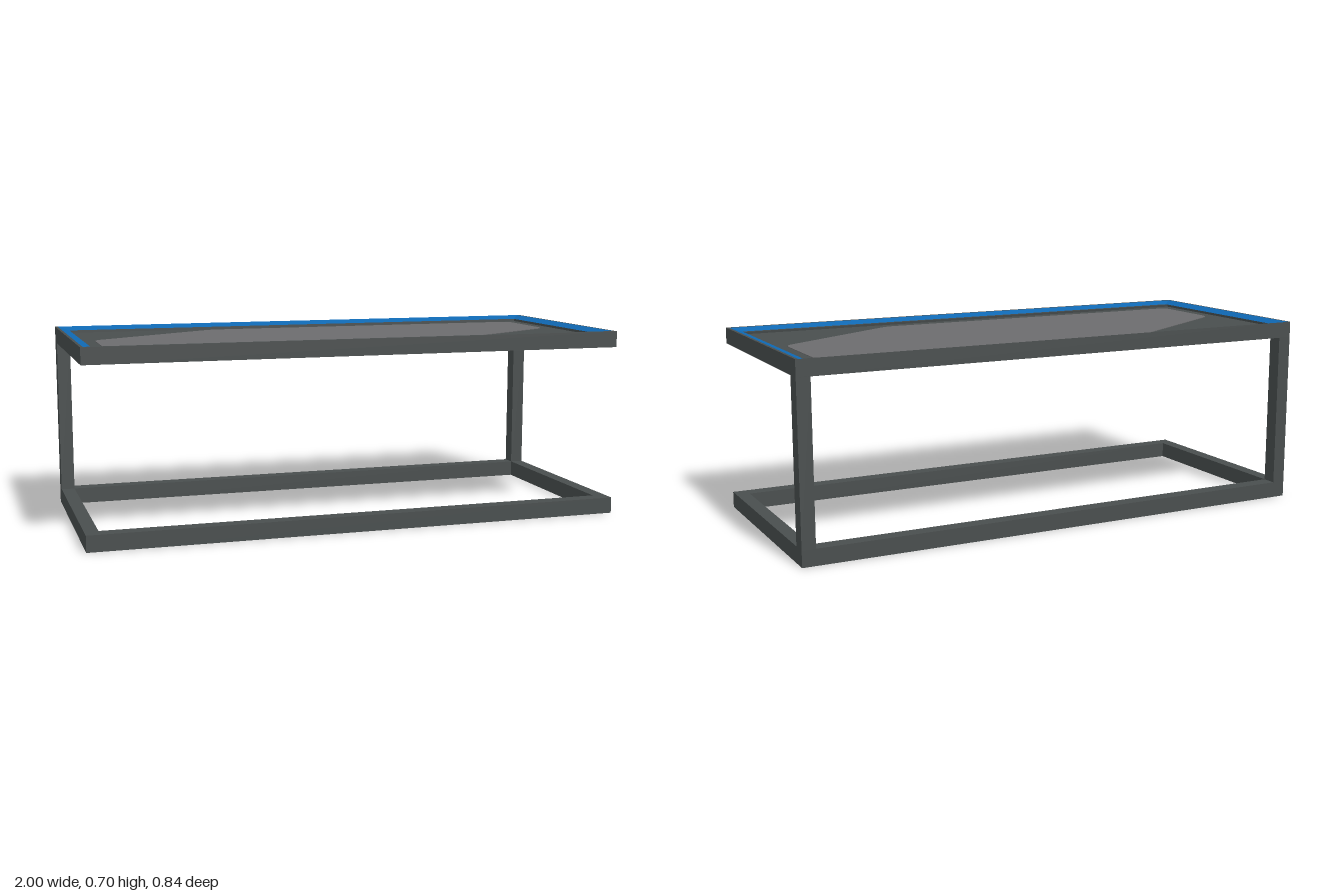
import * as THREE from 'three';

const frameMat = new THREE.MeshStandardMaterial({ color: 0x494e4e });
frameMat.name = 'dark grey metal';
const blueMat = new THREE.MeshStandardMaterial({ color: 0x0f68b3 });
blueMat.name = 'blue trim';
const inlayMat = new THREE.MeshStandardMaterial({ color: 0x6c6c6e });
inlayMat.name = 'mid grey inlay';

// Skin successive rectangular loops: [half width, back z, front z, y]
function rectLoft(loops) {
  const pos = [];
  const corners = ([w, b, f, y]) => [[-w, y, f], [w, y, f], [w, y, b], [-w, y, b]];
  for (let k = 0; k < loops.length - 1; k++) {
    const lo = corners(loops[k]), hi = corners(loops[k + 1]);
    for (let i = 0; i < 4; i++) {
      const j = (i + 1) % 4;
      pos.push(...lo[i], ...lo[j], ...hi[j], ...lo[i], ...hi[j], ...hi[i]);
    }
  }
  const g = new THREE.BufferGeometry();
  g.setAttribute('position', new THREE.Float32BufferAttribute(pos, 3));
  g.computeVertexNormals();
  return g;
}

// Polygon with every corner rounded off
function roundedPolygon(points, r) {
  const pts = points.map(([x, y]) => new THREE.Vector2(x, y));
  const shape = new THREE.Shape();
  pts.forEach((p, i) => {
    const toward = (q) => p.clone().add(q.clone().sub(p).setLength(r));
    const a = toward(pts[(i + pts.length - 1) % pts.length]);
    const b = toward(pts[(i + 1) % pts.length]);
    if (i === 0) shape.moveTo(a.x, a.y); else shape.lineTo(a.x, a.y);
    shape.quadraticCurveTo(p.x, p.y, b.x, b.y);
  });
  shape.closePath();
  return shape;
}

export function createModel() {
  const model = new THREE.Group();
  model.name = 'cantilever table';
  const add = (name, geometry, material, x = 0, y = 0, z = 0) => {
    const mesh = new THREE.Mesh(geometry, material);
    mesh.name = name;
    mesh.position.set(x, y, z);
    model.add(mesh);
  };

  // Base frame: a closed rectangular ring on the floor
  add('baseFrame', rectLoft([
    [1, -0.42, 0.42, 0], [1, -0.42, 0.42, 0.06], [0.95, -0.365, 0.365, 0.06],
    [0.95, -0.365, 0.365, 0], [1, -0.42, 0.42, 0],
  ]), frameMat);

  // Two uprights at the back only
  for (const s of [-1, 1]) {
    add(s > 0 ? 'leftUpright' : 'rightUpright',
      new THREE.BoxGeometry(0.05, 0.58, 0.055), frameMat, s * 0.975, 0.35, -0.3925);
  }

  // Top frame, its upper face interrupted by the blue bevel
  const trimOuter = [0.99, -0.42, 0.405, 0.7];
  const trimInner = [0.95, -0.37, 0.37, 0.688];
  add('topFrameOuter', rectLoft([
    [0.95, -0.365, 0.365, 0.64], [1, -0.42, 0.42, 0.64], [1, -0.42, 0.42, 0.7], trimOuter,
  ]), frameMat);
  add('blueTrim', rectLoft([trimOuter, trimInner]), blueMat);
  add('topFrameInner', rectLoft([
    trimInner, [0.95, -0.365, 0.355, 0.688], [0.95, -0.365, 0.365, 0.64],
  ]), frameMat);

  // Recessed panel
  add('panel', new THREE.BoxGeometry(1.9, 0.01, 0.73), frameMat, 0, 0.674, 0);

  // Angular inlay showing on both faces of the panel
  const outline = roundedPolygon([
    [-0.9, -0.3], [0.4, -0.3], [0.9, 0], [0.9, 0.32], [-0.4, 0.32], [-0.9, 0.01],
  ], 0.035);
  const inlay = new THREE.ExtrudeGeometry(outline, { depth: 0.014, bevelEnabled: false, curveSegments: 6 });
  inlay.rotateX(-Math.PI / 2);
  add('panelInlay', inlay, inlayMat, 0, 0.667, 0);

  return model;
}
